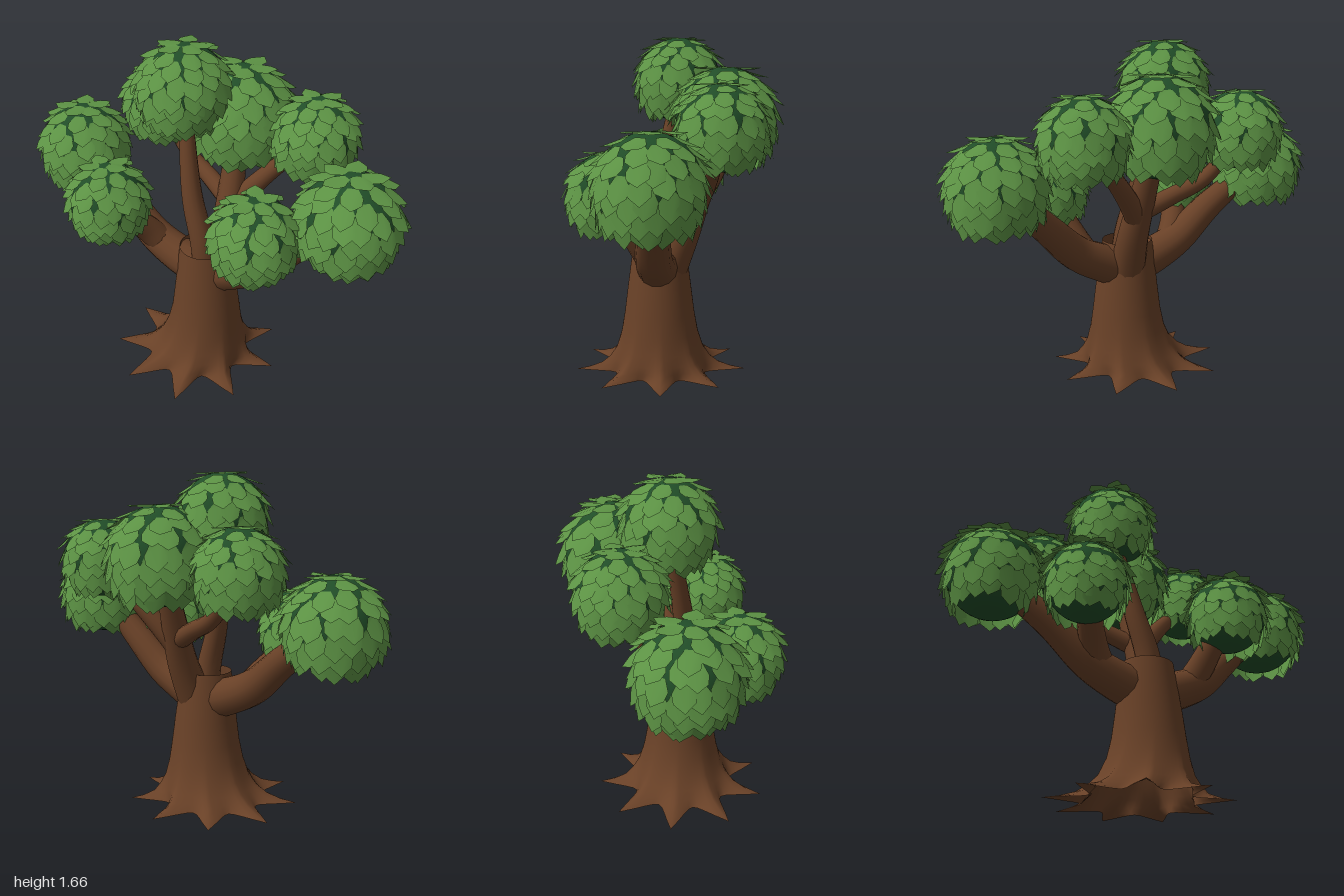
import * as THREE from 'three';
import { mergeGeometries } from 'three/addons/utils/BufferGeometryUtils.js';

const bark = new THREE.MeshStandardMaterial({ color: 0x694127, side: THREE.DoubleSide });
const leafGreen = new THREE.MeshStandardMaterial({ color: 0x5c9244, side: THREE.DoubleSide });
const darkGreen = new THREE.MeshStandardMaterial({ color: 0x214d28 });

let seed = 7;
const rand = () => (seed = (seed * 16807) % 2147483647) / 2147483647;
const jitter = (a) => (rand() - 0.5) * 2 * a;

function add(parent, name, geometry, material) {
  const mesh = new THREE.Mesh(geometry, material);
  mesh.name = name;
  parent.add(mesh);
}

// Trunk: an open shell of rings whose lowest ones flare into nine pointed roots
function trunkGeometry() {
  const SPIKES = 9, STEPS = 8, N = SPIKES * STEPS;
  // [height, radius between roots, radius along roots, centre x]
  const rings = [
    [0, 0.258, 0.435, -0.02], [0.012, 0.255, 0.365, -0.015], [0.035, 0.248, 0.30, -0.005],
    [0.07, 0.235, 0.258, 0.01], [0.12, 0.213, 0.222, 0.02], [0.2, 0.192, 0.194, 0.03],
    [0.3, 0.175, 0.175, 0.035], [0.42, 0.16, 0.16, 0.035], [0.55, 0.143, 0.143, 0.032],
    [0.67, 0.127, 0.127, 0.03],
  ];
  const pos = [], index = [];
  for (const [y, valley, ridge, cx] of rings) {
    for (let i = 0; i < N; i++) {
      const a = (16 * Math.PI) / 180 + (i / N) * Math.PI * 2;
      const peak = Math.abs(1 - (2 * (i % STEPS)) / STEPS);
      const r = valley + (ridge - valley) * Math.pow(peak, 1.9);
      pos.push(cx + Math.sin(a) * r, y, 0.082 + Math.cos(a) * r);
    }
  }
  for (let k = 0; k < rings.length - 1; k++) {
    for (let i = 0; i < N; i++) {
      const a = k * N + i, b = k * N + ((i + 1) % N);
      index.push(a, b, b + N, a, b + N, a + N);
    }
  }
  const g = new THREE.BufferGeometry();
  g.setAttribute('position', new THREE.Float32BufferAttribute(pos, 3));
  g.setIndex(index);
  g.computeVertexNormals();
  return g;
}

// Branch: a tube through the points, tapered from r0 to r1
function branchGeometry(points, r0, r1) {
  const curve = new THREE.CatmullRomCurve3(points.map((p) => new THREE.Vector3(...p)));
  const SEG = 20, SIDES = 14;
  const g = new THREE.TubeGeometry(curve, SEG, 1, SIDES);
  const p = g.attributes.position, v = new THREE.Vector3();
  for (let i = 0; i < p.count; i++) {
    const t = Math.floor(i / (SIDES + 1)) / SEG;
    const c = curve.getPointAt(t);
    v.fromBufferAttribute(p, i).sub(c).multiplyScalar(r0 + (r1 - r0) * t).add(c);
    p.setXYZ(i, v.x, v.y, v.z);
  }
  return g;
}

// One pointed leaf of unit scale, growing along +y and gently arched
function leafGeometry() {
  const outline = [[-0.1, 0], [0.1, 0], [0.22, 0.2], [0.2, 0.38], [0, 0.56], [-0.2, 0.38], [-0.22, 0.2]];
  const g = new THREE.ShapeGeometry(new THREE.Shape(outline.map((p) => new THREE.Vector2(...p))));
  const p = g.attributes.position;
  for (let i = 0; i < p.count; i++) p.setZ(i, -0.8 * p.getX(i) ** 2);
  g.computeVertexNormals();
  return g;
}

// Overlapping rows of leaves hanging down a unit ball
function leavesGeometry() {
  const leaf = leafGeometry(), leaves = [], m = new THREE.Matrix4();
  const rows = [7, 22, 38, 54, 70, 86, 102, 117];
  rows.forEach((deg, row) => {
    const count = Math.max(5, Math.round((2 * Math.PI * Math.sin(deg * Math.PI / 180)) / 0.35));
    for (let i = 0; i < count; i++) {
      const th = (deg + jitter(4)) * Math.PI / 180;
      const ph = ((i + (row % 2) / 2 + jitter(0.15)) / count) * Math.PI * 2;
      const n = new THREE.Vector3(Math.sin(th) * Math.sin(ph), Math.cos(th), Math.sin(th) * Math.cos(ph));
      const t = new THREE.Vector3(Math.cos(th) * Math.sin(ph), -Math.sin(th), Math.cos(th) * Math.cos(ph));
      const s = new THREE.Vector3().crossVectors(t, n);
      m.makeBasis(s, t, n).setPosition(n.clone().multiplyScalar(1.015));
      const g = leaf.clone();
      g.rotateZ(jitter(0.15)).rotateX(0.08 + jitter(0.1) + (deg > 95 ? 0.14 : 0));
      leaves.push(g.applyMatrix4(m));
    }
  });
  return mergeGeometries(leaves);
}

export function createModel() {
  const tree = new THREE.Group();
  tree.name = 'tree';

  add(tree, 'trunk', trunkGeometry(), bark);

  // Branches: name, path, start radius, end radius
  const branches = [
    ['rightBranch', [[0.0, 0.52, 0.08], [-0.15, 0.57, 0.08], [-0.28, 0.635, 0.075], [-0.46, 0.79, 0.055], [-0.72, 0.98, 0.01]], 0.105, 0.055],
    ['leftBranch', [[0.06, 0.52, 0.08], [0.2, 0.575, 0.08], [0.32, 0.635, 0.075], [0.48, 0.78, 0.055], [0.71, 1.0, 0.03]], 0.105, 0.055],
    ['rightFrontBranch', [[-0.22, 0.6, 0.08], [-0.28, 0.69, 0.13], [-0.34, 0.79, 0.21], [-0.4, 0.91, 0.29]], 0.075, 0.05],
    ['leftFrontBranch', [[0.26, 0.6, 0.08], [0.3, 0.69, 0.13], [0.34, 0.8, 0.19], [0.39, 0.94, 0.26]], 0.075, 0.05],
    ['topBranch', [[0.05, 0.5, 0.09], [0.025, 0.7, 0.1], [-0.04, 0.93, 0.085], [-0.13, 1.42, 0.0]], 0.07, 0.03],
    ['backBranch', [[0.06, 0.52, 0.03], [0.075, 0.72, -0.05], [0.065, 0.92, -0.12], [0.04, 1.25, -0.23]], 0.09, 0.045],
    ['rightBackBranch', [[0.06, 0.85, -0.1], [-0.08, 0.92, -0.15], [-0.24, 1.0, -0.2], [-0.42, 1.2, -0.24]], 0.05, 0.03],
    ['leftBackBranch', [[0.06, 0.79, -0.08], [0.14, 0.9, -0.13], [0.24, 1.02, -0.18], [0.44, 1.23, -0.24]], 0.06, 0.03],
  ];
  for (const [name, path, r0, r1] of branches) add(tree, name, branchGeometry(path, r0, r1), bark);

  // Leaf crowns: name, centre, radius
  const crowns = [
    ['rightCrown', [-0.75, 1.005, 0.01], 0.218],
    ['leftCrown', [0.74, 1.025, 0.035], 0.222],
    ['rightFrontCrown', [-0.395, 0.915, 0.29], 0.187],
    ['leftFrontCrown', [0.39, 0.945, 0.26], 0.19],
    ['rightBackCrown', [-0.42, 1.235, -0.24], 0.192],
    ['leftBackCrown', [0.44, 1.245, -0.24], 0.192],
    ['topCrown', [-0.135, 1.455, 0.0], 0.207],
    ['backCrown', [0.045, 1.275, -0.24], 0.24],
  ];
  const leaves = leavesGeometry();
  const core = new THREE.SphereGeometry(1, 28, 20);
  crowns.forEach(([name, centre, r], i) => {
    const crown = new THREE.Group();
    crown.name = name;
    add(crown, 'crownCore', core, darkGreen);
    add(crown, 'leaves', leaves, leafGreen);
    crown.position.set(...centre);
    crown.scale.setScalar(r);
    crown.rotation.y = i * 0.8;
    tree.add(crown);
  });

  return tree;
}
